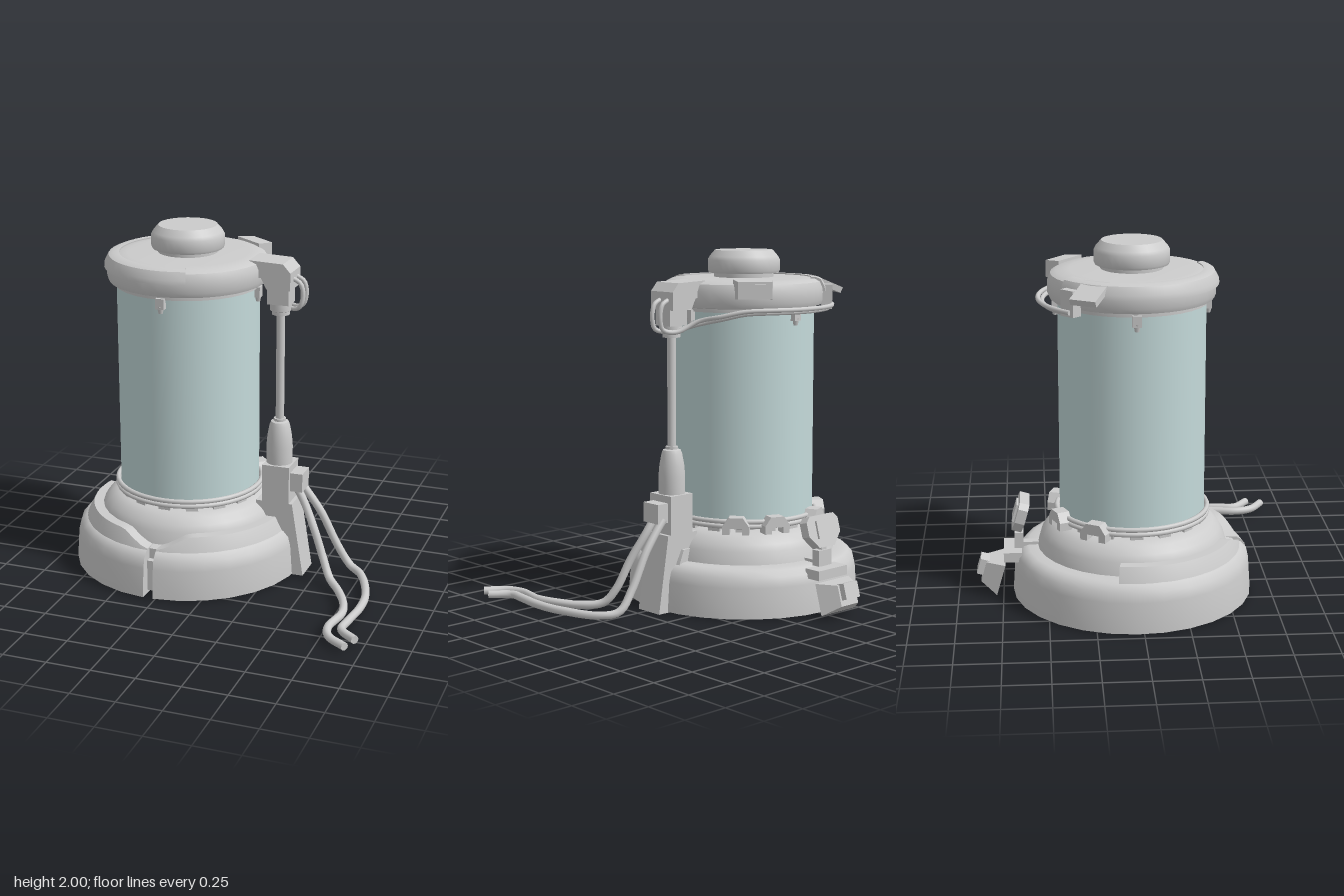
import * as THREE from 'three';
import { toCreasedNormals } from 'three/addons/utils/BufferGeometryUtils.js';

const grey = new THREE.MeshStandardMaterial({ color: 0xcccccc, side: THREE.DoubleSide });
const glassMat = new THREE.MeshStandardMaterial({ color: 0xc4dada });
const V = (x, y, z) => new THREE.Vector3(x, y, z);
const CX = -0.29, CZ = -0.025;

function add(parent, name, geo, x = 0, y = 0, z = 0, mat = grey) {
  const m = new THREE.Mesh(geo, mat);
  m.name = name;
  m.position.set(x, y, z);
  parent.add(m);
  return m;
}
const box = (w, h, d) => new THREE.BoxGeometry(w, h, d);
const lathe = (pts, n = 32) =>
  toCreasedNormals(new THREE.LatheGeometry(pts.map(p => new THREE.Vector2(p[0], p[1])), n), 0.6);

// Box whose +z end is scaled down
function taper(w, h, d, sx, sy) {
  const g = box(w, h, d), p = g.attributes.position;
  for (let i = 0; i < p.count; i++) if (p.getZ(i) > 0) p.setXY(i, p.getX(i) * sx, p.getY(i) * sy);
  return toCreasedNormals(g, 0.3);
}

// Sweep of a closed (radius, height) section around the y axis, capped at both ends
function arc(a0, a1, n, section) {
  const pos = [], idx = [];
  let m = 0;
  for (let i = 0; i <= n; i++) {
    const a = a0 + (a1 - a0) * i / n, s = section(a);
    m = s.length;
    for (const [r, y] of s) pos.push(r * Math.sin(a), y, r * Math.cos(a));
  }
  for (let i = 0; i < n; i++) for (let j = 0; j < m; j++) {
    const k = (j + 1) % m, a = i * m + j, b = a + m, c = (i + 1) * m + k, d = i * m + k;
    idx.push(a, b, d, b, c, d);
  }
  for (let j = 1; j < m - 1; j++) idx.push(0, j, j + 1, n * m, n * m + j + 1, n * m + j);
  const g = new THREE.BufferGeometry();
  g.setAttribute('position', new THREE.Float32BufferAttribute(pos, 3));
  g.setIndex(idx);
  return toCreasedNormals(g, 0.6);
}

function tube(parent, name, pts, r, n = 60) {
  const curve = new THREE.CatmullRomCurve3(pts.map(p => V(...p)));
  add(parent, name, new THREE.TubeGeometry(curve, n, r, 10));
  for (const t of [0, 1]) { // end discs
    const d = add(parent, name + 'End', new THREE.CircleGeometry(r, 10));
    d.position.copy(curve.getPoint(t));
    d.lookAt(d.position.clone().addScaledVector(curve.getTangent(t), t ? 1 : -1));
  }
}

// Group on a circle, its own +z pointing outward
function radial(parent, name, deg, r, y) {
  const g = new THREE.Group(), a = deg * Math.PI / 180;
  g.name = name;
  g.position.set(r * Math.sin(a), y, r * Math.cos(a));
  g.rotation.y = a;
  parent.add(g);
  return g;
}

function buildBase(body) {
  add(body, 'baseCore', lathe([[0, 0.01], [0.575, 0.01], [0.575, 0.27], [0.53, 0.28], [0.51, 0.35],
    [0.49, 0.385], [0.455, 0.42], [0.42, 0.44], [0.38, 0.447], [0, 0.447]]));
  const gap = 0.043;
  add(body, 'baseSkirt', arc(gap, Math.PI * 2 - gap, 28, () => [[0.56, 0.01], [0.67, 0.01], [0.658, 0.18],
    [0.645, 0.235], [0.615, 0.268], [0.585, 0.278], [0.52, 0.28]]));
  // Raised front collar, cut away on a slant beside the slot
  const collar = a => {
    const t = Math.min(0.35, 0.278 + Math.max(0, Math.abs(Math.sin(a)) * 0.58 - 0.04) * 0.45);
    return [[0.5, 0.25], [0.61, 0.25], [0.605, 0.27], [0.605 - (t - 0.27) * 0.5, t], [0.5, t]];
  };
  add(body, 'frontCollarLeft', arc(gap, 1.75, 24, collar));
  add(body, 'frontCollarRight', arc(-1.75, -gap, 24, collar));
  add(body, 'slotInsert', box(0.05, 0.18, 0.06), 0, 0.12, 0.58);
  add(body, 'neck', lathe([[0.36, 0.44], [0.36, 0.52]]));
  for (let i = 0; i < 16; i++)
    add(radial(body, 'neckTooth', i * 22.5, 0.385, 0.452), 'tooth', box(0.07, 0.03, 0.05));
  for (const y of [0.475, 0.502])
    add(body, 'sealRing', new THREE.TorusGeometry(0.42, 0.014, 8, 48), 0, y, 0).rotation.x = Math.PI / 2;

  // Arched clamps over the seal rings
  const s = new THREE.Shape([[-0.075, 0], [-0.075, 0.045], [-0.04, 0.095], [0.04, 0.095], [0.075, 0.045],
    [0.075, 0], [0.035, 0], [0.035, 0.035], [-0.035, 0.035], [-0.035, 0]].map(p => new THREE.Vector2(...p)));
  for (const deg of [131, 160, 203, 240])
    add(radial(body, 'clamp', deg, 0.405, 0.44), 'clampArch',
      new THREE.ExtrudeGeometry(s, { depth: 0.07, bevelEnabled: false }));
}

function buildCap(body) {
  add(body, 'cap', lathe([[0.38, 1.67], [0.415, 1.67], [0.415, 1.69], [0.445, 1.695], [0.455, 1.72],
    [0.455, 1.79], [0.44, 1.825], [0.41, 1.84], [0.34, 1.845], [0, 1.85]]));
  add(body, 'capShell', arc(-2.55, 0.34, 20, () => [[0.39, 1.77], [0.47, 1.77], [0.468, 1.795],
    [0.445, 1.838], [0.42, 1.848], [0.385, 1.848]]));
  add(body, 'knob', lathe([[0.17, 1.84], [0.17, 1.872], [0.2, 1.872], [0.206, 1.885], [0.206, 1.945],
    [0.195, 1.965], [0.165, 2], [0, 2]]));
  // Hooks holding the glass
  for (let i = 0; i < 4; i++) {
    const g = radial(body, 'hook', i * 90, 0.415, 1.65);
    add(g, 'hookPlate', box(0.05, 0.06, 0.035));
    add(g, 'hookTip', new THREE.CylinderGeometry(0.02, 0.012, 0.04, 10), 0, -0.035, 0);
  }
  // Fittings on the rim
  const flap = radial(body, 'rimFlap', 240, 0.48, 1.8);
  add(flap, 'flapPlate', box(0.15, 0.035, 0.18)).rotation.x = 0.4;
  const guide = radial(body, 'wireGuide', 224.5, 0.475, 1.735);
  add(guide, 'guideBlock', box(0.09, 0.14, 0.06));
  const panel = radial(body, 'rimPanel', 143, 0.455, 1.8);
  add(panel, 'panelBlock', taper(0.22, 0.11, 0.1, 0.85, 0.85));
  add(panel, 'panelFace', box(0.13, 0.07, 0.012), 0, 0, 0.05);
}

function buildSupport(root) {
  const z = -0.02;
  // Foot with a sloping outer face
  const foot = new THREE.Shape([[0.15, 0.005], [0.435, 0.005], [0.365, 0.44], [0.15, 0.44]].map(p => new THREE.Vector2(...p)));
  add(root, 'supportFoot', new THREE.ExtrudeGeometry(foot, { depth: 0.175, bevelEnabled: false }), 0, 0, z - 0.0875);
  add(root, 'junctionBox', box(0.16, 0.22, 0.175), 0.265, 0.55, z);
  add(root, 'cableSocket', box(0.075, 0.11, 0.125), 0.38, 0.565, z);
  add(root, 'sleeve', lathe([[0.075, 0.65], [0.075, 0.76], [0.07, 0.82], [0.058, 0.885], [0.05, 0.905],
    [0.035, 0.91], [0.035, 0.925], [0, 0.925]], 20), 0.26, 0, z);
  add(root, 'rod', new THREE.CylinderGeometry(0.024, 0.024, 0.66, 16), 0.26, 1.23, z);
  add(root, 'rodCollar', lathe([[0, 1.535], [0.05, 1.535], [0.05, 1.555], [0.06, 1.56], [0.06, 1.61], [0, 1.61]], 16), 0.26, 0, z);
  add(root, 'rodHead', box(0.125, 0.1, 0.12), 0.26, 1.65, z);
  const arm = new THREE.Shape([[0.1, 1.75], [0.1, 1.845], [0.295, 1.838], [0.338, 1.79], [0.338, 1.69],
    [0.2, 1.69], [0.17, 1.75]].map(p => new THREE.Vector2(...p)));
  add(root, 'topBracket', new THREE.ExtrudeGeometry(arm, { depth: 0.18, bevelEnabled: false }), 0, 0, z - 0.1);

  // Cables lying on the ground
  tube(root, 'groundCable', [[0.37, 0.53, -0.07], [0.42, 0.47, -0.07], [0.5, 0.36, -0.07], [0.6, 0.17, -0.07],
    [0.68, 0.06, -0.06], [0.76, 0.04, 0], [0.86, 0.04, 0.25], [0.875, 0.04, 0.42], [0.855, 0.04, 0.6],
    [0.85, 0.04, 0.7], [0.95, 0.04, 0.79]], 0.023);
  tube(root, 'groundCable', [[0.37, 0.53, 0.005], [0.42, 0.45, 0.015], [0.5, 0.3, 0.06], [0.57, 0.14, 0.1],
    [0.62, 0.06, 0.15], [0.7, 0.04, 0.25], [0.775, 0.04, 0.4], [0.8, 0.04, 0.52], [0.775, 0.04, 0.7],
    [0.81, 0.04, 0.8], [0.92, 0.04, 0.88]], 0.023);

  // Thin wires looping from the bracket round the back of the cap
  for (let k = 0; k < 2; k++) {
    const wz = k ? -0.075 : -0.01;
    const pts = [[0.32, 1.75, wz], [0.375, 1.72, wz], [0.39, 1.65, wz], [0.37, 1.585, wz], [0.3, 1.57, wz - 0.03]];
    for (let deg = 107; deg <= 227; deg += 15) {
      const a = deg * Math.PI / 180, r = 0.485 + k * 0.022;
      pts.push([CX + r * Math.sin(a), 1.6 + 0.075 * Math.min(1, (deg - 100) / 40) + k * 0.015, CZ + r * Math.cos(a)]);
    }
    tube(root, 'capWire', pts, 0.013, 80);
  }
}

function buildRearArm(root) {
  const g = new THREE.Group();
  g.name = 'rearArm';
  g.position.x = CX;
  root.add(g);
  add(g, 'armRib', box(0.05, 0.04, 0.12), 0, 0.275, -0.6);
  add(g, 'armBlock', box(0.23, 0.055, 0.1), 0, 0.238, -0.695);
  add(g, 'armStem', box(0.04, 0.14, 0.03), 0, 0.33, -0.66);
  add(g, 'armHinge', box(0.1, 0.09, 0.05), 0, 0.315, -0.66);
  // Upper paddle, wider at the top and leaning in
  const s = new THREE.Shape([[-0.06, -0.09], [0.06, -0.09], [0.125, -0.02], [0.125, 0.06], [0.095, 0.09],
    [-0.095, 0.09], [-0.125, 0.06], [-0.125, -0.02]].map(p => new THREE.Vector2(...p)));
  const up = add(g, 'upperPaddle', new THREE.ExtrudeGeometry(s, { depth: 0.055, bevelEnabled: false }), 0, 0.468, -0.675);
  up.rotation.x = 0.28;
  add(up, 'paddleInset', box(0.12, 0.1, 0.02), 0, 0.01, -0.002);
  // Lower paddle, tapering outward and tilted down
  const low = new THREE.Group();
  low.name = 'lowerPaddle';
  low.position.set(0, 0.125, -0.81);
  low.rotation.set(0.28, Math.PI, 0, 'XYZ');
  g.add(low);
  add(low, 'paddleBody', taper(0.27, 0.18, 0.1, 0.5, 0.65));
  add(low, 'paddleTip', box(0.11, 0.09, 0.05), 0, 0.02, 0.06);
}

export function createModel() {
  const root = new THREE.Group();
  root.name = 'canister';
  const body = new THREE.Group();
  body.name = 'body';
  body.position.set(CX, 0, CZ);
  root.add(body);
  buildBase(body);
  add(body, 'glass', new THREE.CylinderGeometry(0.403, 0.403, 1.2, 40), 0, 1.09, 0, glassMat);
  buildCap(body);
  buildSupport(root);
  buildRearArm(root);
  return root;
}
